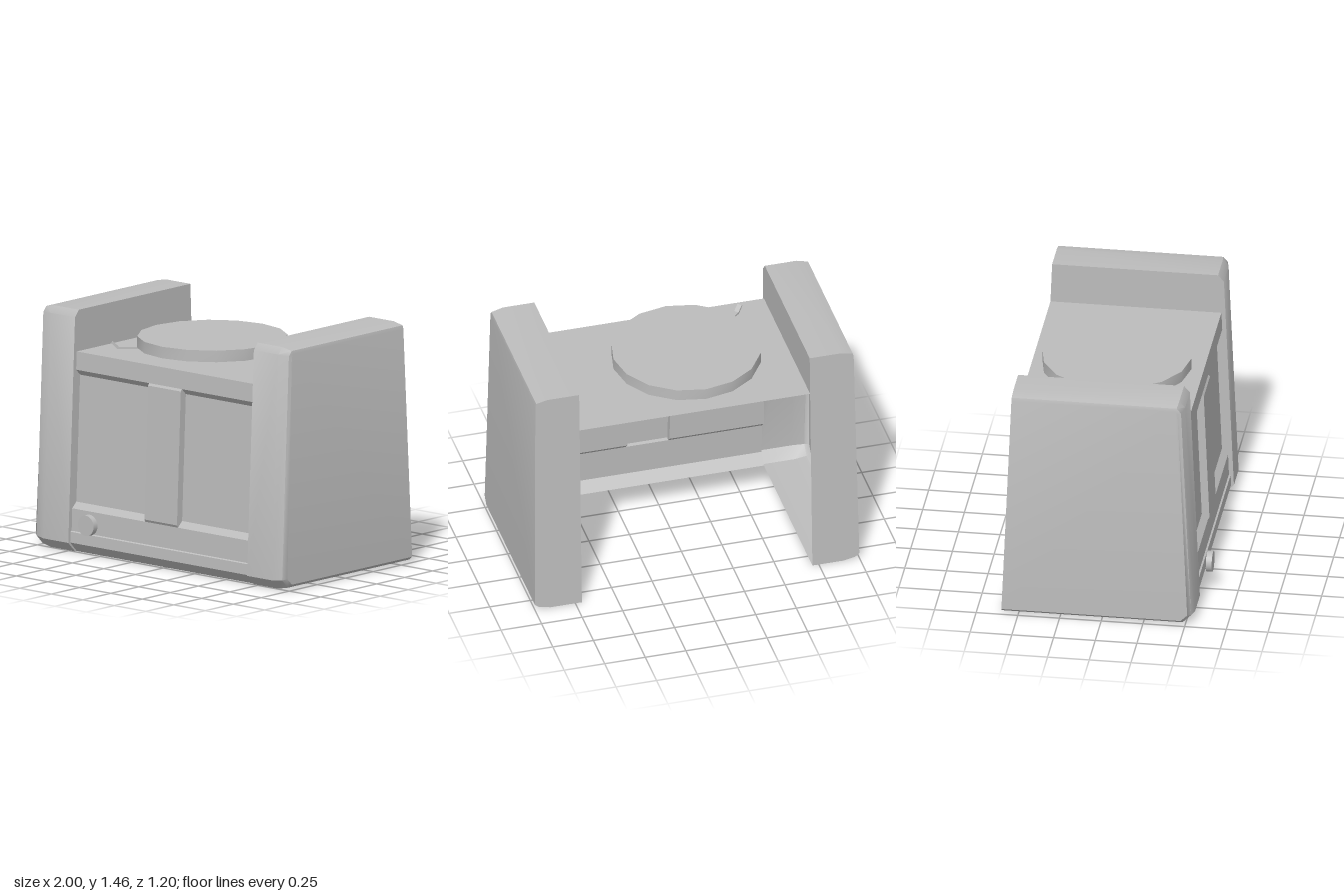
import * as THREE from 'three';
import { toCreasedNormals } from 'three/addons/utils/BufferGeometryUtils.js';

const grey = new THREE.MeshStandardMaterial({ color: 0xbcbcbc, side: THREE.DoubleSide });
grey.name = 'grey';

// Collects triangles and quads; flip reverses the corner order and mirrors x
function builder(mirror = 1) {
  const pos = [];
  const tri = (a, b, c) => {
    for (const p of mirror < 0 ? [a, c, b] : [a, b, c]) pos.push(p[0] * mirror, p[1], p[2]);
  };
  const quad = (a, b, c, d) => { tri(a, b, c); tri(a, c, d); };
  // flat wall from an outline of [z, y] points; x may depend on y
  const wall = (outline, x, reverse) => {
    const at = i => [x(outline[i][1]), outline[i][1], outline[i][0]];
    const faces = THREE.ShapeUtils.triangulateShape(outline.map(p => new THREE.Vector2(p[0], p[1])), []);
    for (const [a, b, c] of faces) reverse ? tri(at(a), at(c), at(b)) : tri(at(a), at(b), at(c));
  };
  const mesh = (name, crease) => {
    const g = new THREE.BufferGeometry();
    g.setAttribute('position', new THREE.Float32BufferAttribute(pos, 3));
    const m = new THREE.Mesh(toCreasedNormals(g, crease), grey);
    m.name = name;
    return m;
  };
  return { tri, quad, wall, mesh };
}

const INNER = 0.71;   // x where the side housings start
const COLUMN = 0.13;  // half width of the centre column

// Profiles as [z, y], running from the back of the deck down the front
const deckTop = [[-0.55, 1.21], [0.42, 1.21], [0.475, 1.21], [0.48, 1.10]];
const recess = [[0.445, 1.065], [0.478, 0.30]];
const column = [[0.49, 1.087], [0.524, 0.28]];
const lower = [[0.515, 0.265], [0.52, 0.13], [0.53, 0.125], [0.533, 0.06], [0.475, 0]];
const bodyProfile = [...deckTop, ...recess, ...lower];

// Side outline, inset by d on the bottom, front and top
function sideOutline(d) {
  const c = 0.41 * d;
  const back = y => -0.6 + 0.06 * y / 1.46;
  return [
    [back(d), d], [0.49 - c, d], [0.55 - d, 0.06 + c],
    [0.49 - d, 1.42 - c], [0.455 - c, 1.46 - d], [back(1.46 - d), 1.46 - d],
  ];
}

// Hollow housing at one side, open inward below the deck
function sideHousing(s) {
  const b = builder(s);
  const loops = [[INNER, 0], [0.905, 0], [0.975, 0.015], [1, 0.035]].map(([x, d], k) =>
    sideOutline(d).map(([z, y]) => [k === 3 ? x - 0.02 * y / 1.46 : x, y, z]));
  for (let k = 0; k < 3; k++) {
    for (let i = 0; i < 6; i++) {
      const j = (i + 1) % 6;
      b.quad(loops[k][i], loops[k + 1][i], loops[k + 1][j], loops[k][j]);
    }
  }
  b.wall(sideOutline(0.035), y => 1 - 0.02 * y / 1.46, true);
  b.wall([...bodyProfile, ...sideOutline(0).slice(1)], () => INNER, false);
  return b.mesh(s > 0 ? 'leftSideHousing' : 'rightSideHousing', 0.7);
}

// Sheet that follows a profile between two x positions
function sheet(b, profile, x0, x1) {
  for (let i = 0; i + 1 < profile.length; i++) {
    const [p, q] = [profile[i], profile[i + 1]];
    b.quad([x0, p[1], p[0]], [x0, q[1], q[0]], [x1, q[1], q[0]], [x1, p[1], p[0]]);
  }
}

export function createModel() {
  const model = new THREE.Group();
  model.name = 'tableMachine';
  model.add(sideHousing(1), sideHousing(-1));

  // Deck with upper lip, and the lower front with its ledge
  let b = builder();
  sheet(b, deckTop, -INNER, INNER);
  model.add(b.mesh('deck', 0.2));
  b = builder();
  sheet(b, lower, -INNER, INNER);
  model.add(b.mesh('lowerFront', 0.2));

  // Recessed panels either side of the column
  const recessProfile = [deckTop[3], ...recess, lower[0]];
  for (const [name, x0, x1] of [['rightPanel', -INNER, -COLUMN], ['leftPanel', COLUMN, INNER]]) {
    b = builder();
    sheet(b, recessProfile, x0, x1);
    model.add(b.mesh(name, 0.2));
  }

  // Centre column, hollow behind
  b = builder();
  sheet(b, [deckTop[3], ...column, lower[0]], -COLUMN, COLUMN);
  const cheek = [deckTop[3], ...recess, lower[0], ...[...column].reverse()];
  b.wall(cheek, () => COLUMN, true);
  b.wall(cheek, () => -COLUMN, false);
  model.add(b.mesh('centreColumn', 0.2));

  // Round plate above the deck
  const plate = new THREE.Mesh(
    toCreasedNormals(new THREE.CylinderGeometry(0.447, 0.447, 0.07, 16), 0.5), grey);
  plate.position.set(-0.088, 1.28, -0.037);
  plate.name = 'roundPlate';
  model.add(plate);

  // Small handle with an upturned tip
  const shape = new THREE.Shape([[0, 1.235], [0.135, 1.235], [0.172, 1.27], [0.165, 1.278], [0.13, 1.246], [0, 1.246]]
    .map(p => new THREE.Vector2(...p)));
  const handleGeometry = new THREE.ExtrudeGeometry(shape, { depth: 0.03, bevelEnabled: false });
  handleGeometry.translate(0, 0, -0.015);
  const handle = new THREE.Mesh(handleGeometry, grey);
  handle.position.set(-0.405, 0, 0.25);
  handle.rotation.y = 3.87;
  handle.name = 'plateHandle';
  model.add(handle);

  // Front knob
  const knob = new THREE.Mesh(new THREE.CylinderGeometry(0.0625, 0.0625, 0.035, 24), grey);
  knob.rotation.x = Math.PI / 2;
  knob.position.set(-0.525, 0.198, 0.585);
  knob.name = 'knob';
  model.add(knob);

  return model;
}
